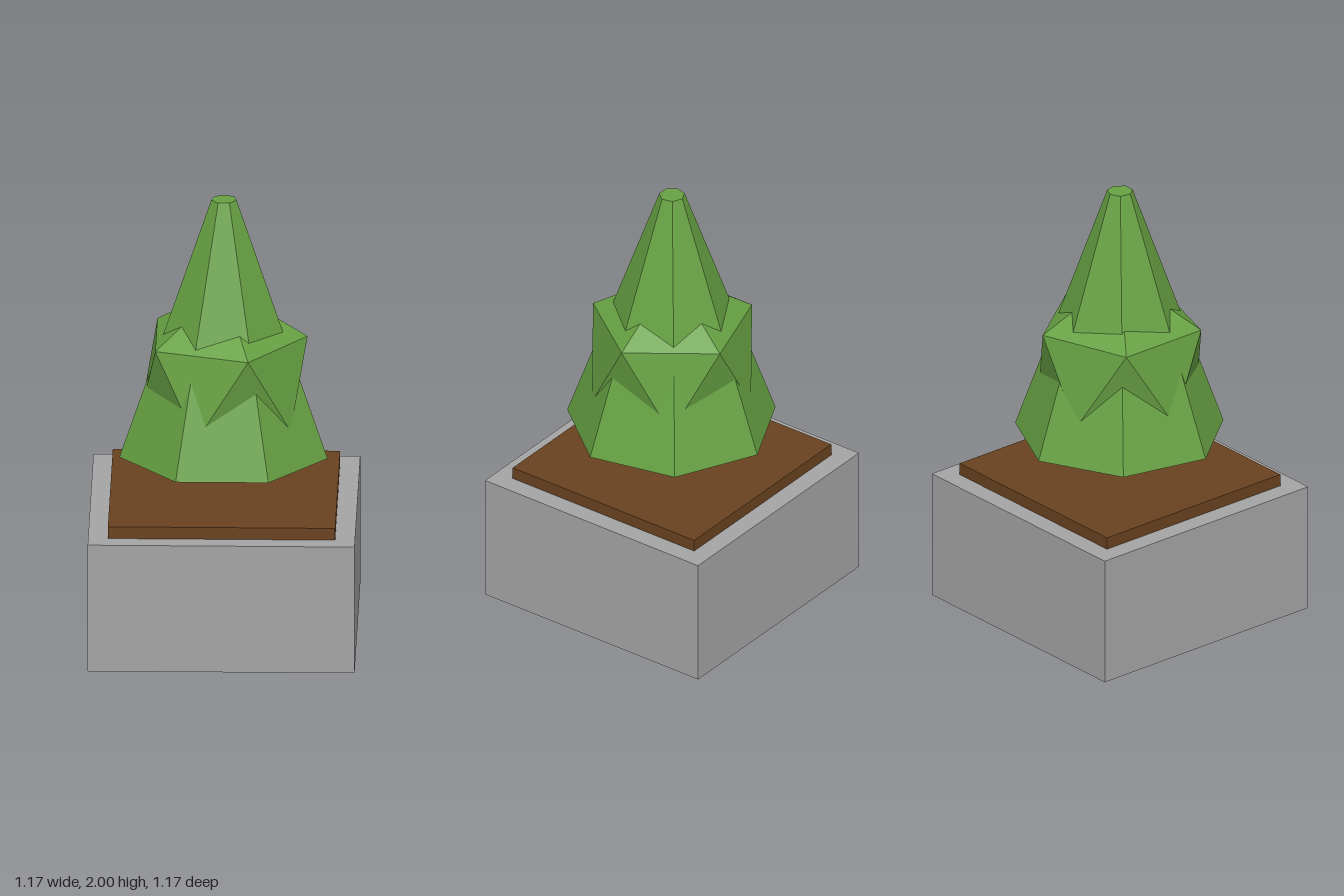
import * as THREE from 'three';

function flatMaterial(name, color) {
  const m = new THREE.MeshStandardMaterial({ color, flatShading: true });
  m.name = name;
  return m;
}

export function createModel() {
  const model = new THREE.Group();
  model.name = 'pottedTree';
  const stone = flatMaterial('stone grey', 0xa4a4a4);
  const soil = flatMaterial('soil brown', 0x694220);
  const leaf = flatMaterial('leaf green', 0x67a143);

  const add = (name, geometry, material, y) => {
    const mesh = new THREE.Mesh(geometry, material);
    mesh.name = name;
    mesh.position.y = y;
    model.add(mesh);
    return mesh;
  };

  // Square planter and the slab of soil on top
  add('planter', new THREE.BoxGeometry(1.174, 0.59, 1.174), stone, 0.295);
  add('soilSlab', new THREE.BoxGeometry(1, 0.055, 1), soil, 0.6175);

  // Seven-sided truncated cone with one corner pointing back
  const cone = new THREE.CylinderGeometry(0.057, 0.47, 1.172, 7);
  cone.rotateY(Math.PI);
  add('foliageCone', cone, leaf, 1.414);

  // Icosahedron standing on a corner, poking through the cone
  const clump = new THREE.IcosahedronGeometry(0.411, 0);
  clump.rotateX(-Math.atan((1 + Math.sqrt(5)) / 2));
  clump.rotateY(Math.PI / 2);
  add('foliageClump', clump, leaf, 1.179);

  return model;
}
